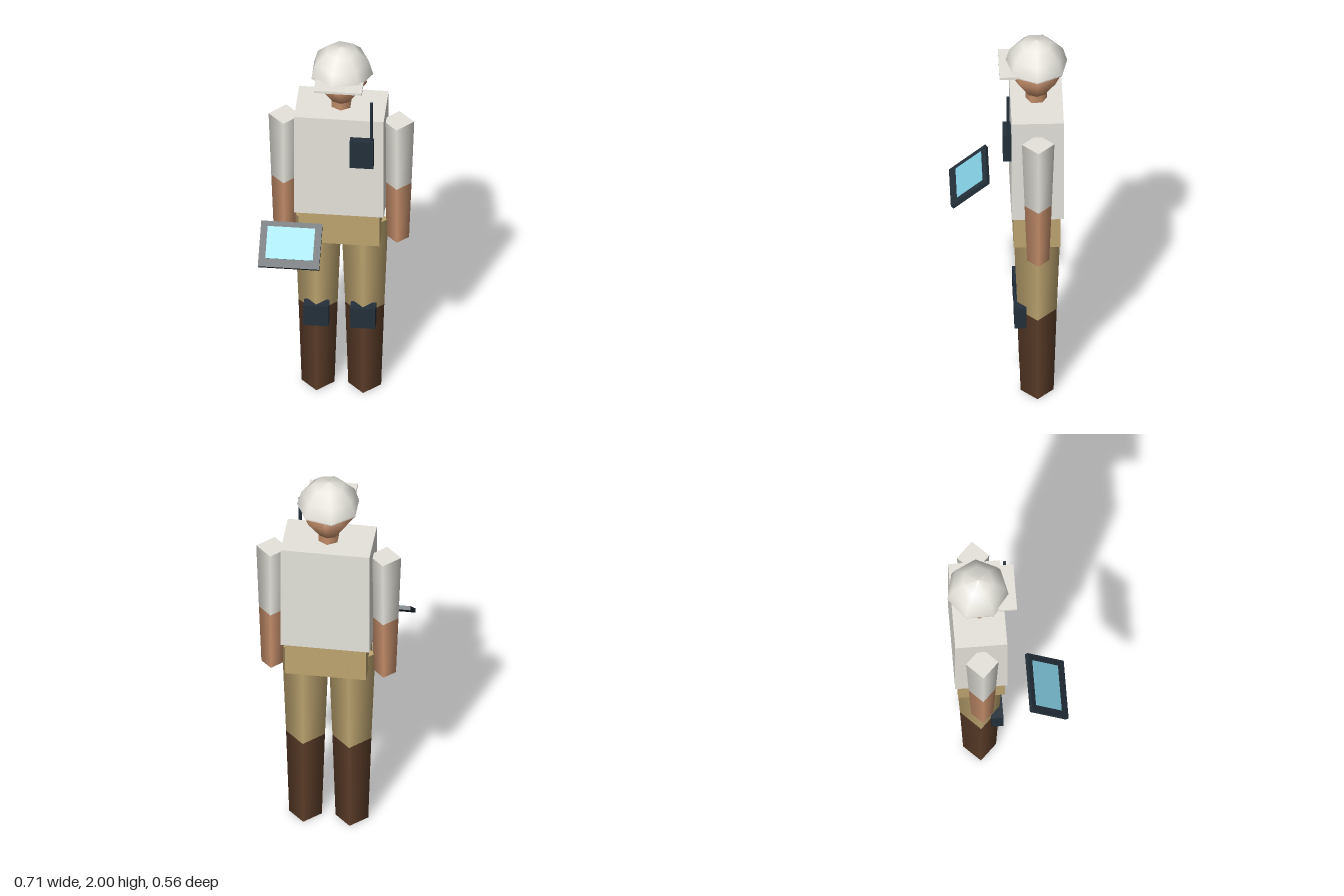
import * as THREE from 'three';

const mat = (name, color) => new THREE.MeshStandardMaterial({ name, color });

export function createModel() {
  const model = new THREE.Group();
  model.name = 'fieldWorker';
  const white = mat('offWhite', 0xe6e4dc);
  const tan = mat('tan', 0xbfa671);
  const skin = mat('skin', 0xc68f6b);
  const brown = mat('bootBrown', 0x5c3d29);
  const dark = mat('darkGear', 0x24303a);
  const blue = mat('screenBlue', 0x84cfe4);

  const CX = 0.005, CZ = -0.13; // body axis

  const add = (name, geometry, material, x, y, z, parent = model) => {
    const mesh = new THREE.Mesh(geometry, material);
    mesh.name = name;
    mesh.position.set(x, y, z);
    parent.add(mesh);
    return mesh;
  };
  // box given by its extents on each axis
  const box = (name, material, [x0, x1], [y0, y1], [z0, z1]) =>
    add(name, new THREE.BoxGeometry(x1 - x0, y1 - y0, z1 - z0), material,
      (x0 + x1) / 2, (y0 + y1) / 2, (z0 + z1) / 2);
  // upright tapered prism from y0 to y1
  const limb = (name, material, x, y0, y1, r0, r1, sides = 4) =>
    add(name, new THREE.CylinderGeometry(r1, r0, y1 - y0, sides), material, x, (y0 + y1) / 2, CZ);

  // trunk
  box('torso', white, [-0.21, 0.22], [1.09, 1.66], [-0.255, -0.005]);
  box('hips', tan, [-0.19, 0.2], [0.91, 1.09], [-0.24, -0.015]);
  limb('neck', skin, CX, 1.64, 1.74, 0.052, 0.052, 6);

  // head: wide at the cheeks, narrowing to the chin
  const headProfile = [[0, 1.675], [0.052, 1.7], [0.124, 1.8], [0.088, 1.86], [0, 1.92]]
    .map(([r, y]) => new THREE.Vector2(r, y));
  add('head', new THREE.LatheGeometry(headProfile, 8), skin, CX, 0, CZ);

  // hard hat: seven-sided dome with a closed underside and a front peak
  const dome = [];
  for (let i = 0; i <= 3; i++) {
    const a = (i * Math.PI) / 6;
    dome.push(new THREE.Vector2(0.152 * Math.cos(a), 1.855 + 0.145 * Math.sin(a)));
  }
  add('helmetDome', new THREE.LatheGeometry(dome, 7), white, CX, 0, CZ).rotation.y = Math.PI / 2;
  const base = add('helmetUnderside', new THREE.CylinderGeometry(0.152, 0.152, 0.006, 7), white, CX, 1.854, CZ);
  base.rotation.y = Math.PI / 2;
  box('helmetPeak', white, [-0.11, 0.12], [1.852, 1.865], [-0.04, 0.05]);

  // arms, legs and knee pads
  for (const [side, s] of [['left', 1], ['right', -1]]) {
    const armX = CX + s * 0.272, legX = CX + s * 0.112;
    limb(side + 'Sleeve', white, armX, 1.215, 1.58, 0.065, 0.078);
    limb(side + 'Forearm', skin, armX, 0.89, 1.215, 0.053, 0.065);
    limb(side + 'Trouser', tan, legX, 0.48, 0.99, 0.094, 0.113);
    limb(side + 'Boot', brown, legX, 0, 0.48, 0.079, 0.094);
    box(side + 'KneePad', dark, [legX - 0.061, legX + 0.061], [0.41, 0.525], [-0.078, -0.02]);
  }

  // chest radio
  box('radio', dark, [0.06, 0.174], [1.405, 1.56], [-0.005, 0.034]);
  box('antenna', dark, [0.156, 0.17], [1.54, 1.78], [0.004, 0.018]);

  // tilted tablet
  const tablet = new THREE.Group();
  tablet.name = 'tablet';
  tablet.position.set(-0.21, 1.033, 0.184);
  tablet.rotation.x = THREE.MathUtils.degToRad(40);
  model.add(tablet);
  add('tabletCase', new THREE.BoxGeometry(0.294, 0.02, 0.226), dark, 0, 0, 0, tablet);
  add('tabletScreen', new THREE.BoxGeometry(0.228, 0.004, 0.158), blue, 0, 0.011, -0.008, tablet);

  return model;
}
